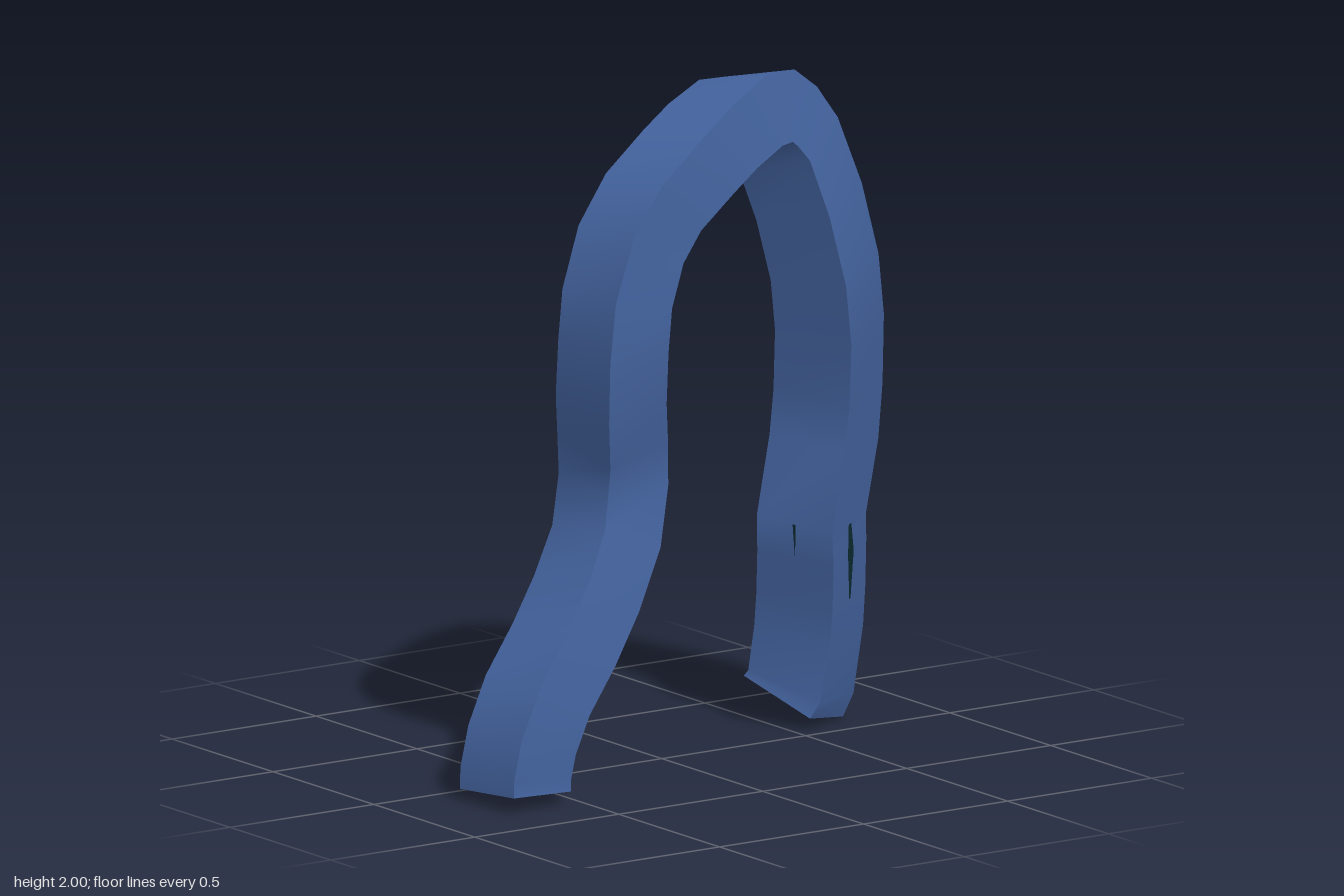
import * as THREE from 'three';

const blue = new THREE.MeshStandardMaterial({ name: 'slate blue', color: 0x4464a0 });
const dark = new THREE.MeshStandardMaterial({ name: 'dark teal', color: 0x0c2a30, side: THREE.DoubleSide });

const HALF_W = 0.105, HALF_D = 0.121;

// Stations along the arch: centre x, y, z, yaw of the front face in degrees, lift of the front edge
const stations = [
  [-0.655, 0.035, 0.21, 4], [-0.653, 0.08, 0.207, 4], [-0.636, 0.18, 0.215, 4], [-0.575, 0.30, 0.205, 4],
  [-0.465, 0.43, 0.18, 3], [-0.37, 0.56, 0.155, 2], [-0.28, 0.71, 0.125, 1], [-0.245, 0.87, 0.11, 1],
  [-0.265, 0.99, 0.135, 2], [-0.295, 1.12, 0.17, 3], [-0.305, 1.28, 0.195, 3], [-0.295, 1.42, 0.20, 4],
  [-0.24, 1.57, 0.19, 5], [-0.155, 1.68, 0.18, 7, 0.03], [-0.02, 1.775, 0.16, 11, 0.08],
  [0.09, 1.83, 0.125, 17, 0.15], [0.215, 1.873, 0.085, 22, 0.2], [0.30, 1.865, 0.05, 25, 0.2],
  [0.36, 1.82, 0.035, 27, 0.15], [0.415, 1.745, 0.035, 28, 0.1], [0.48, 1.57, 0.045, 28],
  [0.54, 1.37, 0.036, 28], [0.575, 1.20, 0.01, 28], [0.605, 1.00, -0.04, 28], [0.605, 0.85, -0.06, 28],
  [0.575, 0.62, -0.08, 28], [0.588, 0.53, -0.096, 28], [0.607, 0.39, -0.128, 28], [0.615, 0.28, -0.15, 28],
  [0.606, 0.11, -0.176, 28], [0.59, 0.067, -0.19, 28],
];

// Frame at each station: centre c, outward normal n, front direction v
function makeFrames() {
  const pts = stations.map(s => new THREE.Vector3(s[0], s[1], s[2]));
  return pts.map((c, i) => {
    const t = new THREE.Vector3();
    if (i > 0) t.add(c.clone().sub(pts[i - 1]).normalize());
    if (i < pts.length - 1) t.add(pts[i + 1].clone().sub(c).normalize());
    t.normalize();
    const yaw = THREE.MathUtils.degToRad(stations[i][3]);
    const v = new THREE.Vector3(Math.sin(yaw), stations[i][4] || 0, Math.cos(yaw));
    v.addScaledVector(t, -v.dot(t)).normalize();
    return { c, v, n: v.clone().cross(t) };
  });
}

const at = (f, a, b) => f.c.clone().addScaledVector(f.n, a).addScaledVector(f.v, b);

function meshFrom(name, points, index, material) {
  const g = new THREE.BufferGeometry().setFromPoints(points);
  g.setIndex(index);
  g.computeVertexNormals();
  const m = new THREE.Mesh(g, material);
  m.name = name;
  return m;
}

// One strip between two edge lines, smooth along its length
function strip(name, edgeA, edgeB, material) {
  const points = [], index = [];
  edgeA.forEach((a, i) => {
    points.push(a, edgeB[i]);
    if (i > 0) {
      const k = 2 * (i - 1);
      index.push(k, k + 1, k + 3, k, k + 3, k + 2);
    }
  });
  return meshFrom(name, points, index, material);
}

export function createModel() {
  const model = new THREE.Group();
  model.name = 'bentArch';
  const frames = makeFrames();

  // Four long faces of the square bar, with sharp edges between them
  const corners = [[1, 1], [-1, 1], [-1, -1], [1, -1]];
  const edges = corners.map(([a, b]) => frames.map(f => at(f, a * HALF_W, b * HALF_D)));
  ['frontFace', 'innerFace', 'backFace', 'outerFace'].forEach((name, i) =>
    model.add(strip(name, edges[i], edges[(i + 1) % 4], blue)));

  // Flat ends of the two feet
  const last = frames.length - 1;
  model.add(meshFrom('rightFootEnd', edges.map(e => e[0].clone()), [0, 2, 1, 0, 3, 2], blue));
  model.add(meshFrom('leftFootEnd', edges.map(e => e[last].clone()), [0, 1, 2, 0, 2, 3], blue));

  // Thin dark slivers along the middle of the faces of the left leg
  const run = frames.slice(25, 28);
  const off = 0.003;
  const slivers = {
    frontSliver: [[0.008, 0.018, 0.004], (f, w) => at(f, -w, HALF_D + off)],
    backSliver: [[0.008, 0.016, 0.002], (f, w) => at(f, w, -HALF_D - off)],
    outerSliver: [[0.012, 0.018, 0.002], (f, w) => at(f, HALF_W + off, w)],
    innerSliver: [[0.005, 0, 0], (f, w) => at(f, -HALF_W - off, -w)],
  };
  for (const [name, [widths, place]] of Object.entries(slivers)) {
    model.add(strip(name, run.map((f, i) => place(f, -widths[i])), run.map((f, i) => place(f, widths[i])), dark));
  }
  return model;
}
